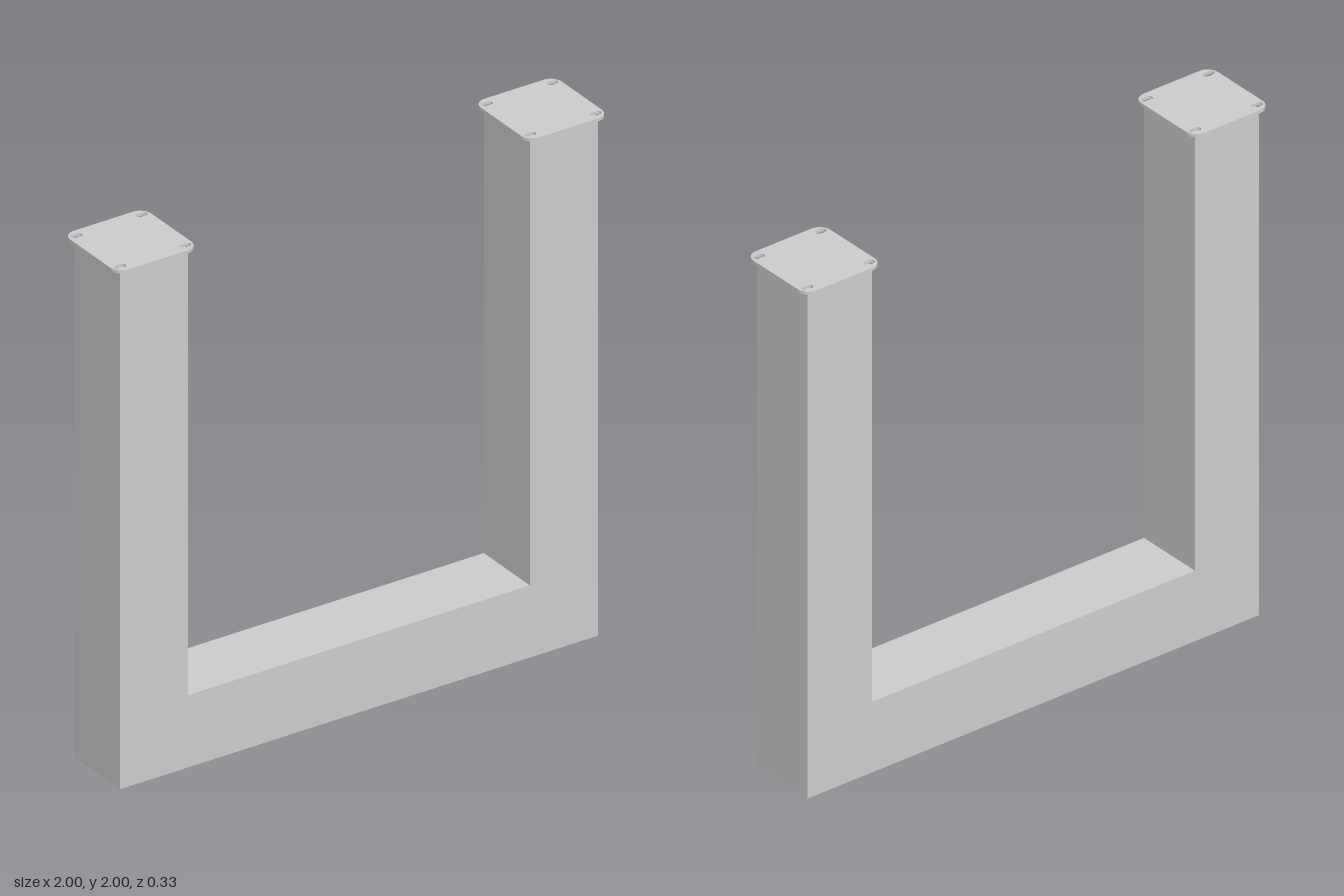
import * as THREE from 'three';

const HEIGHT = 2, PLATE_T = 0.012, HALF_DEPTH = 0.138;
const OUTER = 0.972, INNER = 0.695, BAR = 0.277;
const PLATE_HALF = 0.165, PLATE_X = 0.835;

const material = new THREE.MeshStandardMaterial({ color: 0xcccccc });

// Rounded rectangle outline; also used for the slots
function roundedRect(path, cx, cy, hw, hh, r) {
  path.absarc(cx + hw - r, cy + hh - r, r, 0, Math.PI / 2);
  path.absarc(cx - hw + r, cy + hh - r, r, Math.PI / 2, Math.PI);
  path.absarc(cx - hw + r, cy - hh + r, r, Math.PI, Math.PI * 1.5);
  path.absarc(cx + hw - r, cy - hh + r, r, Math.PI * 1.5, Math.PI * 2);
  path.closePath();
  return path;
}

// U-shaped square-section frame: two legs joined by a floor bar
function makeFrame() {
  const top = HEIGHT - PLATE_T;
  const outline = new THREE.Shape([
    [-OUTER, 0], [OUTER, 0], [OUTER, top], [INNER, top],
    [INNER, BAR], [-INNER, BAR], [-INNER, top], [-OUTER, top],
  ].map(([x, y]) => new THREE.Vector2(x, y)));
  const geometry = new THREE.ExtrudeGeometry(outline, { depth: HALF_DEPTH * 2, bevelEnabled: false });
  geometry.translate(0, 0, -HALF_DEPTH);
  const frame = new THREE.Mesh(geometry, material);
  frame.name = 'legFrame';
  return frame;
}

// Mounting plate with rounded corners and four screw slots
function makePlateGeometry() {
  const shape = roundedRect(new THREE.Shape(), 0, 0, PLATE_HALF, PLATE_HALF, 0.045);
  for (const sx of [-1, 1]) {
    for (const sz of [-1, 1]) {
      shape.holes.push(roundedRect(new THREE.Path(), sx * 0.133, sz * 0.131, 0.022, 0.012, 0.0119));
    }
  }
  const geometry = new THREE.ExtrudeGeometry(shape, { depth: PLATE_T, bevelEnabled: false, curveSegments: 8 });
  geometry.rotateX(-Math.PI / 2);
  return geometry;
}

export function createModel() {
  const model = new THREE.Group();
  model.name = 'tableLeg';
  model.add(makeFrame());

  const plateGeometry = makePlateGeometry();
  for (const side of [-1, 1]) {
    const plate = new THREE.Mesh(plateGeometry, material);
    plate.name = side > 0 ? 'leftMountingPlate' : 'rightMountingPlate';
    plate.position.set(side * PLATE_X, HEIGHT - PLATE_T, 0);
    model.add(plate);
  }
  return model;
}
